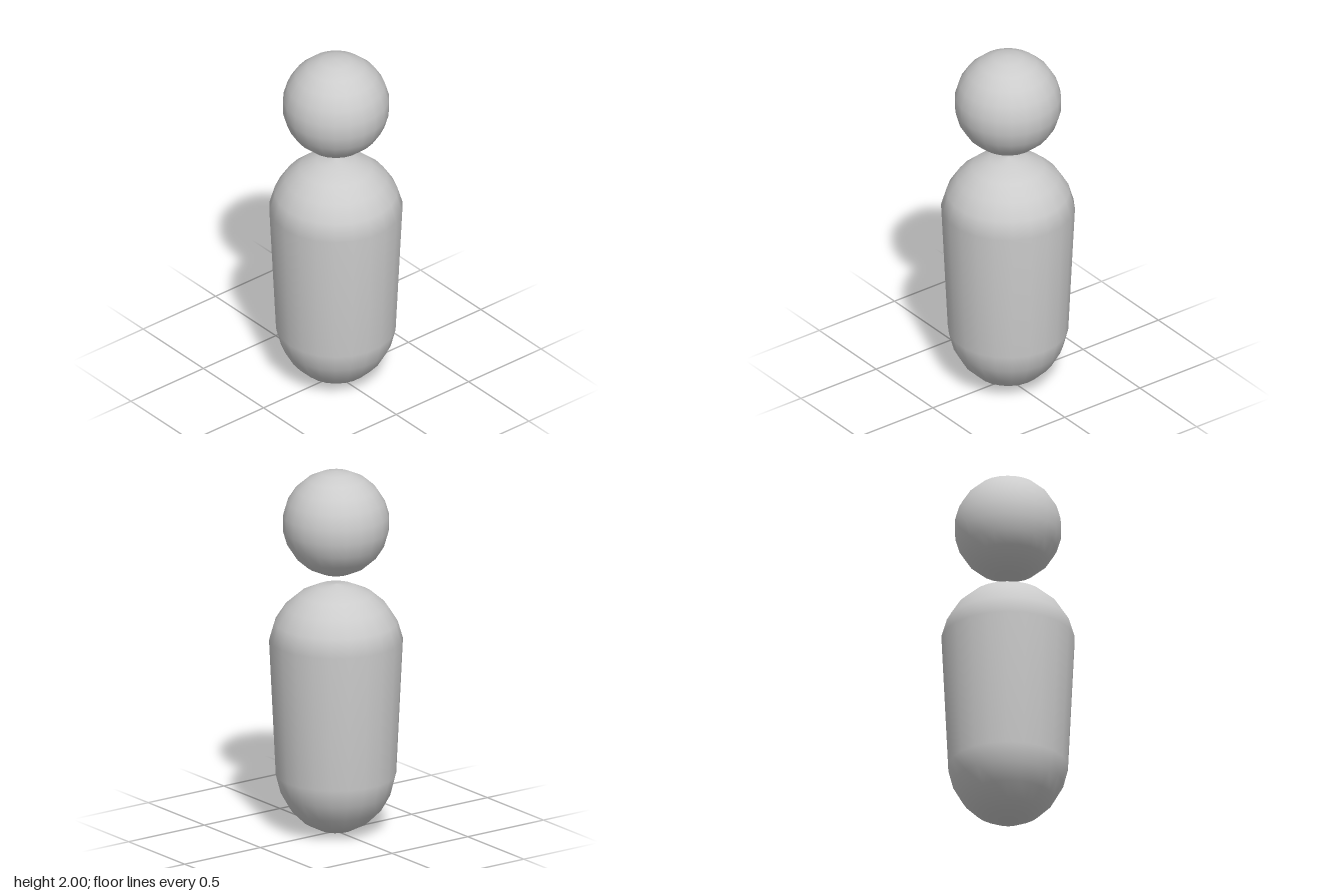
import * as THREE from 'three';

const SIDES = 22;
const RINGS = 11;

export function createModel() {
  const group = new THREE.Group();
  const material = new THREE.MeshStandardMaterial({ color: 0xcccccc });

  // Body: an 11-ring ball pulled apart at the middle, wider at the shoulders
  const lower = { radius: 0.324, height: 0.373, centre: 0.373 };
  const upper = { radius: 0.36, height: 0.36, centre: 1.015 };
  const profile = [];
  for (let i = 0; i <= RINGS; i++) {
    const angle = (i / RINGS) * Math.PI;
    const half = i < RINGS / 2 ? lower : upper;
    const r = i === 0 || i === RINGS ? 0 : half.radius * Math.sin(angle);
    profile.push(new THREE.Vector2(r, half.centre - half.height * Math.cos(angle)));
  }
  const body = new THREE.Mesh(new THREE.LatheGeometry(profile, SIDES), material);
  body.name = 'body';
  group.add(body);

  // Head: a ball floating just above the body, a corner facing the front
  const head = new THREE.Mesh(new THREE.SphereGeometry(0.286, SIDES, RINGS), material);
  head.name = 'head';
  head.rotation.y = Math.PI / 2;
  head.position.y = 1.714;
  group.add(head);

  return group;
}
